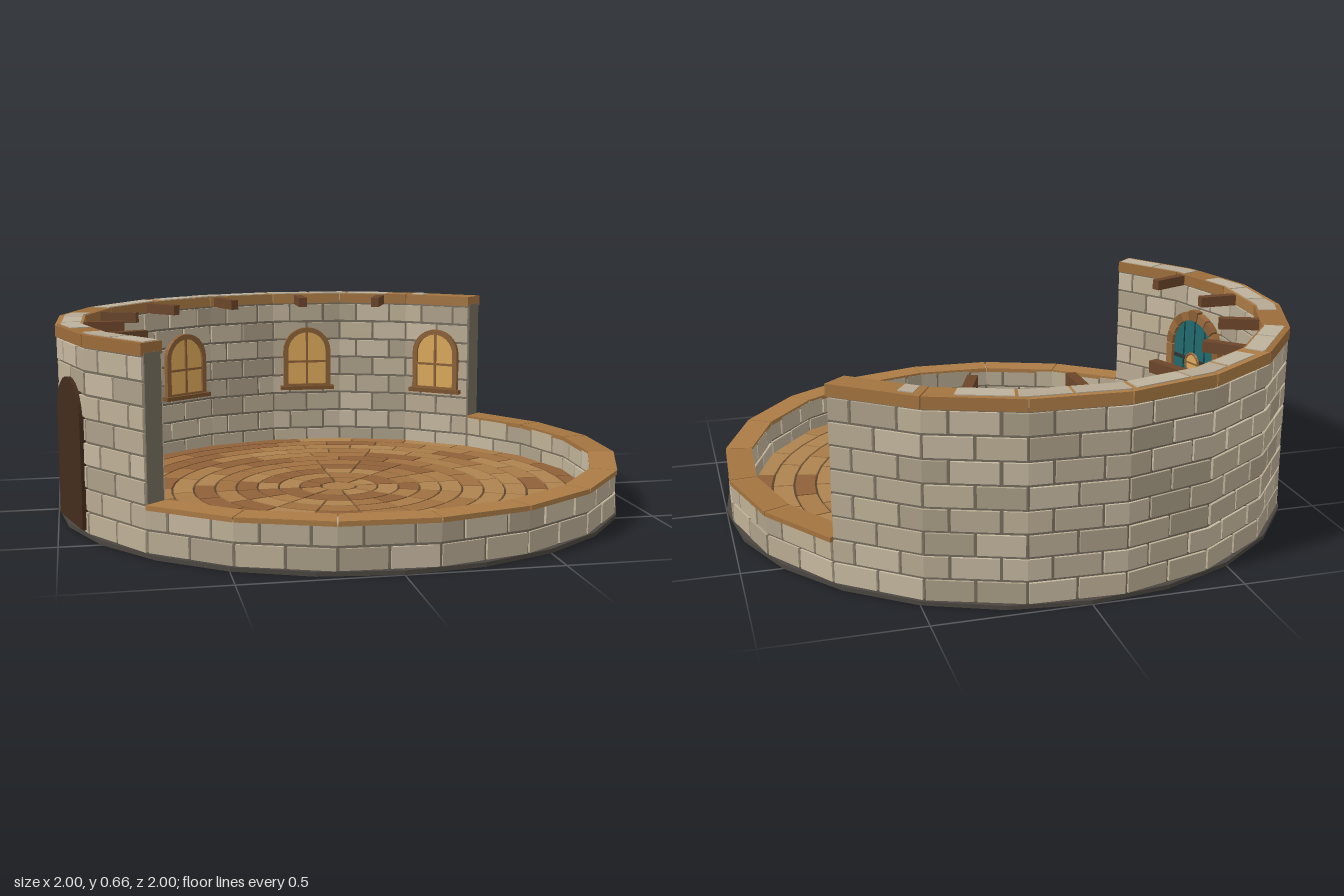
import * as THREE from 'three';
import { mergeGeometries } from 'three/addons/utils/BufferGeometryUtils.js';

const RAD = Math.PI / 180;
const STEP = 18, OFF = 11.4;             // twenty-sided plan, first corner at 11.4 degrees
const TALL = [137.4, 317.4], LOW = [-42.6, 137.4];
const COURSE = 0.0763, BASE = 0.01;
const STONE = [0xb9ab93, 0xada089, 0xc6b8a0, 0xbfb196];
const WOOD = [0xa87b48, 0x9f7040, 0x8f6038, 0xae824e];

let seed = 7;
const rand = () => (seed = (seed * 16807) % 2147483647) / 2147483647;
const pick = (list) => list[Math.floor(rand() * list.length)];

const mats = {};
const mat = (color) => (mats[color] ??= new THREE.MeshStandardMaterial({ color, flatShading: true }));

function add(parent, name, geo, color, x = 0, y = 0, z = 0) {
  const mesh = new THREE.Mesh(geo, mat(color));
  mesh.name = name;
  mesh.position.set(x, y, z);
  parent.add(mesh);
  return mesh;
}

// Radius of the faceted plan at an angle, for a given corner radius
function facetRadius(R, a) {
  const m = ((((a - OFF) % STEP) + STEP) % STEP) - STEP / 2;
  return (R * Math.cos((STEP / 2) * RAD)) / Math.cos(m * RAD);
}

// Upright block between two angles, radii and heights
function arcBlock(a0, a1, r0, r1, y0, y1, round = false) {
  const angles = [a0];
  const step = round ? 7.5 : STEP, off = round ? 0 : OFF;
  for (let a = off + step * Math.ceil((a0 - off) / step); a < a1 - 0.05; a += step) if (a > a0 + 0.05) angles.push(a);
  angles.push(a1);
  const at = (R, a) => {
    const r = round ? R : facetRadius(R, a);
    return new THREE.Vector2(r * Math.cos(a * RAD), -r * Math.sin(a * RAD));
  };
  const pts = [...angles.map((a) => at(r1, a)), ...angles.reverse().map((a) => at(r0, a))];
  return new THREE.ExtrudeGeometry(new THREE.Shape(pts), { depth: y1 - y0, bevelEnabled: false })
    .rotateX(-Math.PI / 2).translate(0, y0, 0);
}

// Collects blocks by colour and merges each colour into one mesh
function batch(parent, name) {
  const sets = {};
  return {
    put: (color, geo) => (sets[color] ??= []).push(geo),
    done: () => Object.entries(sets).forEach(([c, g]) => add(parent, name, mergeGeometries(g), Number(c))),
  };
}

// Group on the wall facing the centre: local z points inward
function onWall(parent, name, angle, r) {
  const g = new THREE.Group();
  const c = Math.cos(angle * RAD), s = Math.sin(angle * RAD);
  g.name = name;
  g.position.set(r * c, 0, r * s);
  g.rotation.y = Math.atan2(-c, -s);
  parent.add(g);
  return g;
}

function archPath(Type, hw, y0, spring) {
  const p = new Type();
  p.moveTo(-hw, y0);
  p.lineTo(hw, y0);
  p.lineTo(hw, spring);
  p.absarc(0, spring, hw, 0, Math.PI, false);
  p.lineTo(-hw, y0);
  return p;
}
const extrude = (shape, depth) => new THREE.ExtrudeGeometry(shape, { depth, bevelEnabled: false, curveSegments: 7 });
const box = (w, h, d) => new THREE.BoxGeometry(w, h, d);

function buildWalls(root) {
  const bricks = batch(root, 'wallBricks');
  for (let i = 0; i < 8; i++) {
    const [s, e] = i < 2 ? [-42.6, 317.4] : TALL;
    const y0 = BASE + i * COURSE + 0.005, y1 = BASE + (i + 1) * COURSE - 0.005;
    let a = s;
    while (a < e - 0.1) {
      let next = a + (a === s && i % 2 ? 4.5 : 9);
      if (next > e - 1) next = e;
      const jut = rand() * 0.003;
      bricks.put(pick(STONE), arcBlock(a + 0.3, next - 0.3, 0.907 - jut, 0.992 + jut, y0, y1));
      a = next;
    }
  }
  bricks.done();
  add(root, 'lowWallMortar', arcBlock(...LOW, 0.914, 0.985, BASE, 0.155), 0x766d5e);
  add(root, 'tallWallMortar', arcBlock(...TALL, 0.914, 0.985, BASE, 0.63), 0x766d5e);

  // Timber coping along both walls, one piece per facet
  const coping = batch(root, 'coping');
  for (let k = 0; k < 20; k++) {
    const a = LOW[0] + k * STEP, low = k < 10;
    coping.put(pick([0xa3733f, 0xab7b45, 0x9c6c3a]),
      arcBlock(a + 0.12, a + STEP - 0.12, 0.905, 0.998, low ? 0.15 : 0.622, low ? 0.166 : 0.661));
  }
  coping.done();

  // Stones showing through the top of the tall wall
  const tops = batch(root, 'topStones');
  [[138, 147.5], [148, 158], [166, 176], [176.6, 186], [186.6, 196], [209, 217], [217.6, 228], [231, 240],
    [241, 250], [250.6, 262], [263, 273], [273.6, 283], [283.6, 294], [301, 304]]
    .forEach(([a, b]) => tops.put(pick([0xbdb19b, 0xb5a994]), arcBlock(a, b, 0.913, 0.978, 0.63, 0.664)));
  tops.done();
}

function buildFloor(root) {
  add(root, 'foundation', new THREE.CylinderGeometry(1, 1, 0.014, 24), 0x4b4640, 0, 0.007);
  add(root, 'floorBase', new THREE.CylinderGeometry(0.915, 0.915, 0.018, 40), 0x59442f, 0, 0.021);
  add(root, 'floorCentre', new THREE.CylinderGeometry(0.06, 0.06, 0.012, 12), WOOD[0], 0, 0.031);
  const planks = batch(root, 'floorPlanks');
  const rings = 11, width = (0.912 - 0.065) / rings;
  for (let i = 0; i < rings; i++) {
    const r = 0.065 + i * width;
    const split = i < 2 ? 1 : i < 7 ? 2 : 3;
    for (let w = 0; w < 8; w++) {
      for (let k = 0; k < split; k++) {
        const span = 45 / split, shift = i > 4 ? (i % 2) * span * 0.5 : 0;
        const a = w * 45 + k * span + shift, gap = 0.2 / r;
        planks.put(pick(WOOD), arcBlock(a + gap, a + span - gap, r + 0.004, r + width - 0.004, 0.025, 0.037, true));
      }
    }
  }
  planks.done();
}

function buildWindow(root, angle) {
  const g = onWall(root, 'window', angle, 0.897);
  const frame = archPath(THREE.Shape, 0.1, 0.262, 0.42);
  frame.holes.push(archPath(THREE.Path, 0.08, 0.28, 0.42));
  add(g, 'windowFrame', extrude(frame, 0.026), 0x8b6035, 0, 0, -0.004);
  add(g, 'windowPane', extrude(archPath(THREE.Shape, 0.085, 0.275, 0.42), 0.012), 0xdca95a);
  add(g, 'windowBar', box(0.009, 0.23, 0.008), 0x8b6035, 0, 0.388, 0.015);
  add(g, 'windowBar', box(0.165, 0.009, 0.008), 0x8b6035, 0, 0.375, 0.015);
  add(g, 'windowSill', box(0.225, 0.016, 0.04), 0x7b522c, 0, 0.264, 0.014);
}

function buildDoor(root, angle) {
  const g = onWall(root, 'door', angle, 0.897);
  const spring = 0.375, y0 = 0.035;
  add(g, 'doorLeaf', extrude(archPath(THREE.Shape, 0.124, y0, spring), 0.014), 0x20696e);
  for (const x of [-0.062, 0, 0.062]) {
    const h = spring + Math.sqrt(0.12 ** 2 - x * x) - y0;
    add(g, 'plankGroove', box(0.005, h, 0.003), 0x12393d, x, y0 + h / 2, 0.0145);
  }
  for (const y of [0.11, 0.335]) add(g, 'doorStrap', box(0.235, 0.014, 0.006), 0x2e3436, 0, y, 0.016);

  // Frame: two posts of blocks and an arch of wedges
  for (const s of [-1, 1]) {
    for (let k = 0; k < 4; k++) {
      add(g, 'framePost', box(0.034, 0.081, 0.034), k % 2 ? 0x9a6a3c : 0x8b5f34, s * 0.139, y0 + 0.0425 + k * 0.085, 0.01);
    }
  }
  for (let k = 0; k < 9; k++) {
    const a = k * 20 * RAD + 0.02, b = (k + 1) * 20 * RAD - 0.02, wedge = new THREE.Shape();
    wedge.absarc(0, 0, k === 4 ? 0.162 : 0.156, a, b, false);
    wedge.absarc(0, 0, 0.122, b, a, true);
    add(g, 'archBlock', extrude(wedge, 0.034), k % 2 ? 0x9a6a3c : 0x8b5f34, 0, spring, -0.007);
  }

  // Round window and ring handle
  const glass = add(g, 'porthole', new THREE.CylinderGeometry(0.036, 0.036, 0.012, 16), 0xdca95a, 0, 0.325, 0.018);
  glass.rotation.x = Math.PI / 2;
  add(g, 'portholeRim', new THREE.TorusGeometry(0.038, 0.006, 6, 16), 0x8b6035, 0, 0.325, 0.022);
  add(g, 'portholeBar', box(0.07, 0.006, 0.005), 0x8b6035, 0, 0.325, 0.025);
  add(g, 'ringHandle', new THREE.TorusGeometry(0.02, 0.004, 6, 14), 0x6b4f2a, 0.078, 0.188, 0.02);

  // Dark doorway on the outer face
  add(g, 'outerDoorway', extrude(archPath(THREE.Shape, 0.132, 0.022, spring), 0.02), 0x432c1c, 0, 0, -0.097);
}

export function createModel() {
  const root = new THREE.Group();
  root.name = 'roundStoneRoom';
  buildFloor(root);
  buildWalls(root);
  for (const a of [218.4, 236.4, 272.4, 308.4]) buildWindow(root, a);
  buildDoor(root, 164.4);

  // Roof beam stubs along the tall wall
  for (let k = 0; k < 7; k++) {
    const g = onWall(root, 'beam', 157.5 + k * 22.5, 0.832);
    add(g, 'beamStub', box(0.032, 0.038, 0.15), 0x6b452a, 0, 0.638);
  }
  return root;
}
